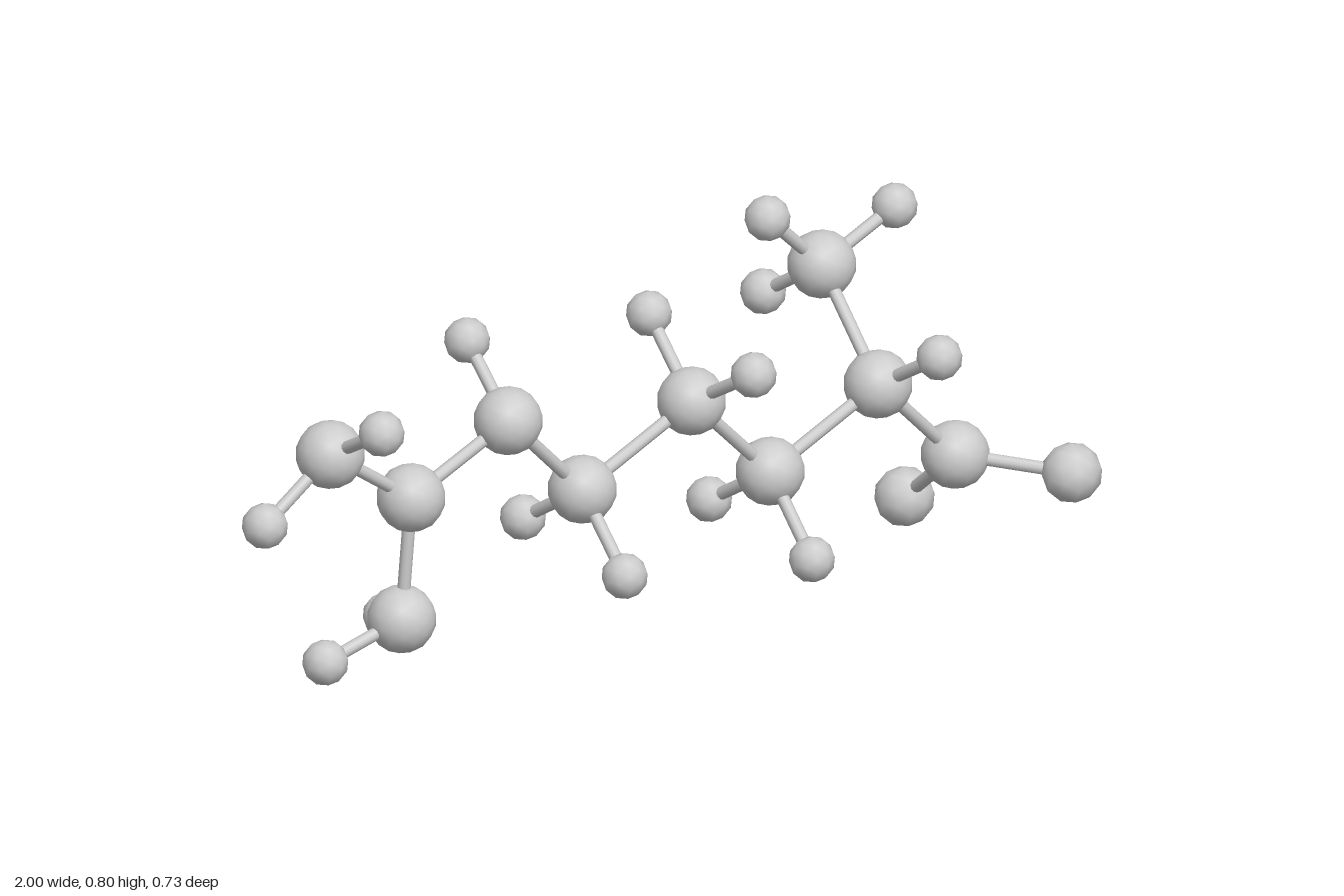
import * as THREE from 'three';

const material = new THREE.MeshStandardMaterial({ color: 0xcccccc });

// Backbone atoms
const carbons = {
  leftEnd: [-0.79, 0.634, -0.122],
  leftFork: [-0.585, 0.486, -0.093],
  leftDrop: [-0.605, 0.223, -0.1],
  chainA: [-0.35, 0.599, -0.047],
  chainB: [-0.147, 0.391, -0.035],
  chainC: [0.12, 0.52, 0.014],
  chainD: [0.33, 0.308, 0.032],
  rightFork: [0.596, 0.434, 0.078],
  rightTop: [0.66, 0.614, -0.145],
  rightEnd: [0.8, 0.224, 0.098],
};

const chainBonds = [
  ['leftEnd', 'leftFork'], ['leftDrop', 'leftFork'], ['leftFork', 'chainA'],
  ['chainA', 'chainB'], ['chainB', 'chainC'], ['chainC', 'chainD'],
  ['chainD', 'rightFork'], ['rightFork', 'rightTop'], ['rightFork', 'rightEnd'],
];

// Outer atoms, listed under the backbone atom that carries them
const oxygens = {
  rightEnd: [[0.935, 0.202, 0.298], [0.843, 0.064, -0.089]],
};
const hydrogens = {
  leftEnd: [[-0.954, 0.518, -0.147], [-0.82, 0.74, 0.054]],
  leftDrop: [[-0.793, 0.173, -0.133], [-0.495, 0.153, -0.253]],
  chainA: [[-0.307, 0.717, -0.206]],
  chainB: [[-0.195, 0.263, 0.133], [-0.142, 0.277, -0.209]],
  chainC: [[0.115, 0.632, 0.196], [0.167, 0.65, -0.153]],
  chainD: [[0.281, 0.177, 0.199], [0.334, 0.193, -0.146]],
  rightFork: [[0.59, 0.547, 0.259]],
  rightTop: [[0.842, 0.697, -0.116], [0.516, 0.754, -0.158], [0.665, 0.502, -0.317]],
};

const ballGeometry = {
  carbon: new THREE.IcosahedronGeometry(0.071, 2),
  oxygen: new THREE.IcosahedronGeometry(0.063, 1),
  hydrogen: new THREE.IcosahedronGeometry(0.048, 1),
};
const rodGeometry = new THREE.CylinderGeometry(0.0135, 0.0135, 1, 10);

function ball(kind, position) {
  const mesh = new THREE.Mesh(ballGeometry[kind], material);
  mesh.name = kind + 'Ball';
  mesh.position.set(...position);
  return mesh;
}

// Rod joining two ball centres
function rod(from, to) {
  const a = new THREE.Vector3(...from);
  const b = new THREE.Vector3(...to);
  const direction = b.clone().sub(a);
  const mesh = new THREE.Mesh(rodGeometry, material);
  mesh.name = 'bondRod';
  mesh.position.copy(a).lerp(b, 0.5);
  mesh.scale.y = direction.length();
  mesh.quaternion.setFromUnitVectors(new THREE.Vector3(0, 1, 0), direction.normalize());
  return mesh;
}

export function createModel() {
  const model = new THREE.Group();
  model.name = 'ballAndStickMolecule';

  const backbone = new THREE.Group();
  backbone.name = 'backbone';
  for (const position of Object.values(carbons)) backbone.add(ball('carbon', position));
  for (const [a, b] of chainBonds) backbone.add(rod(carbons[a], carbons[b]));
  model.add(backbone);

  // Side atoms with their rods
  for (const [kind, table] of [['oxygen', oxygens], ['hydrogen', hydrogens]]) {
    const group = new THREE.Group();
    group.name = kind + 'Atoms';
    for (const [parent, positions] of Object.entries(table)) {
      for (const position of positions) {
        group.add(ball(kind, position), rod(carbons[parent], position));
      }
    }
    model.add(group);
  }
  return model;
}
